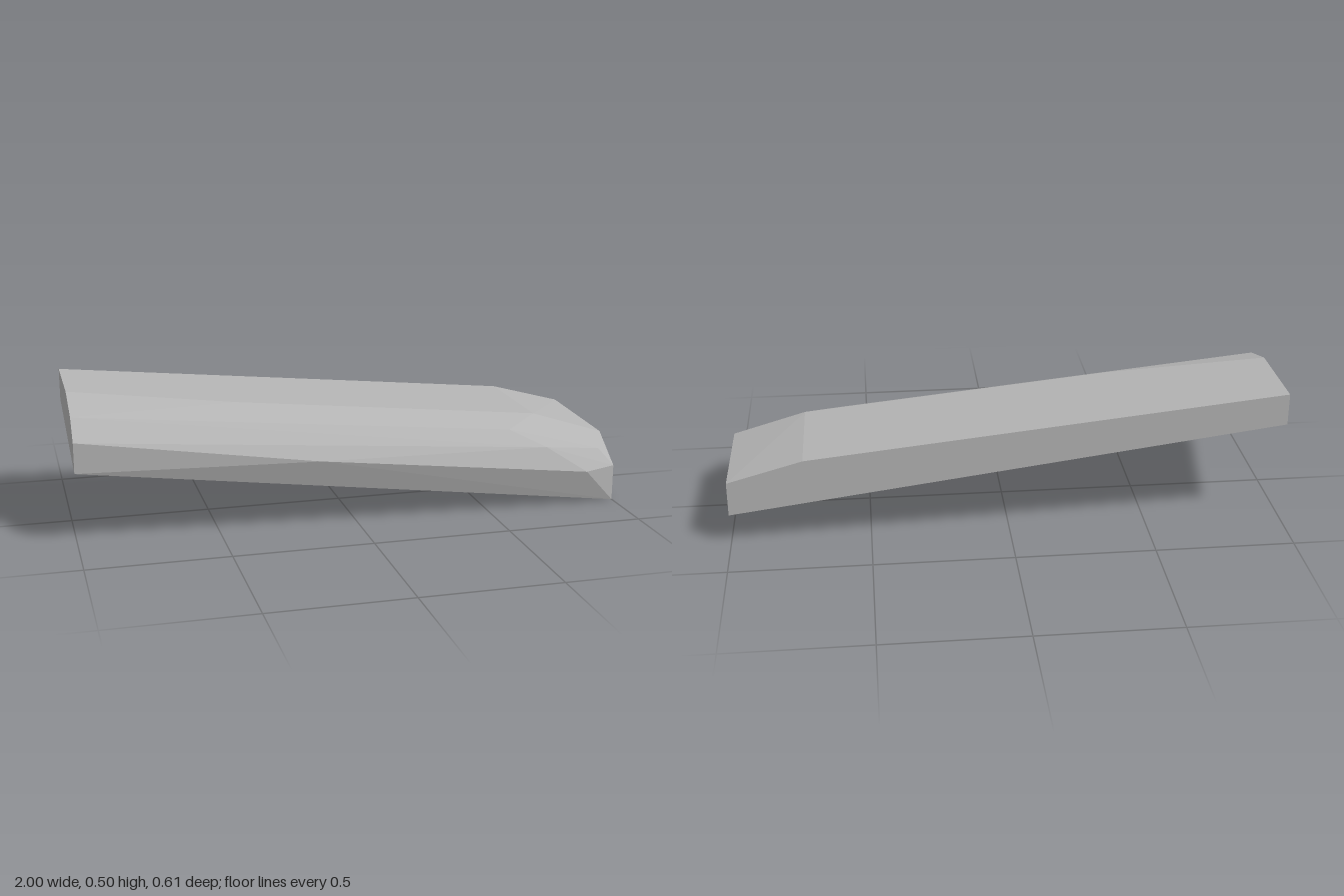
import * as THREE from 'three';
import { ConvexGeometry } from 'three/addons/geometries/ConvexGeometry.js';

export function createModel() {
  const group = new THREE.Group();
  group.name = 'facetedSlab';
  const stoneGrey = new THREE.MeshStandardMaterial({ color: 0xb4b4b4 });
  stoneGrey.name = 'stoneGrey';

  // Corners of the sloping slab, as x, y, z
  const corners = [
    // high end, around its outline
    [-1, 0.265, 0.28], [-1, 0.375, 0.283], [-1, 0.447, 0.214],
    [-1, 0.495, 0.044], [-1, 0.495, -0.305], [-1, 0.378, -0.305],
    // top ridge and back shoulder
    [-0.4, 0.433, 0.108], [0.73, 0.316, 0.118], [0.73, 0.317, -0.305],
    // chipped front edge
    [0.6, 0.288, 0.213], [0.73, 0.225, 0.265], [0.95, 0.196, 0.235],
    [0.88, 0.128, 0.3], [-0.14, 0.25, 0.305],
    // low end, around its outline
    [1, 0, 0.27], [1, 0.135, 0.27], [1, 0.231, 0.134],
    [1, 0.243, -0.305], [1, 0.117, -0.305],
  ].map((p) => new THREE.Vector3(...p));

  const slab = new THREE.Mesh(new ConvexGeometry(corners), stoneGrey);
  slab.name = 'slab';
  group.add(slab);
  return group;
}
